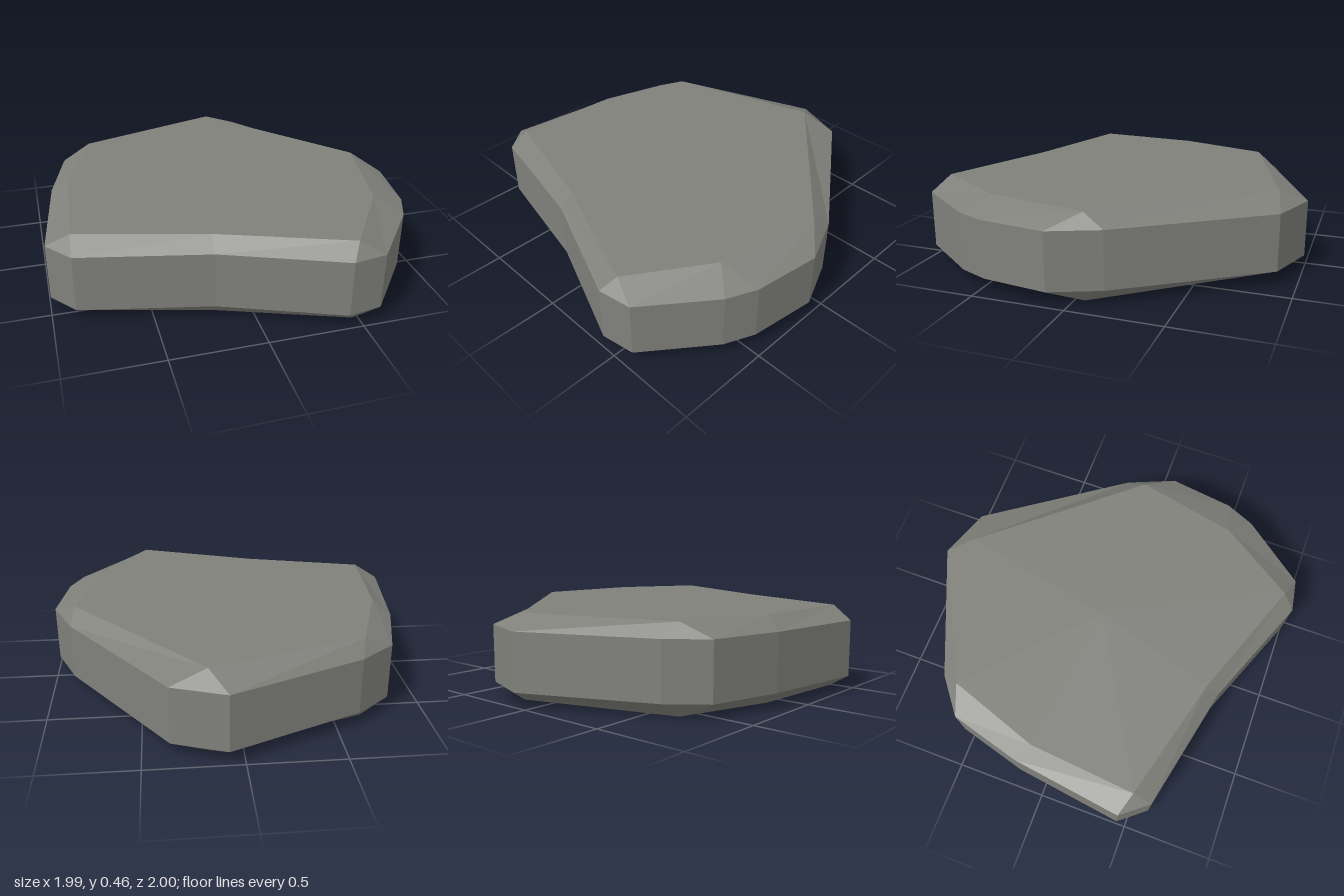
import * as THREE from 'three';

// Girdle outline: x, z, and the index of the cap corner it chamfers to
const outline = [
  [0.08, -1.0, 0], [0.36, -0.9, 0], [0.88, -0.16, 1], [0.99, 0.1, 1],
  [0.94, 0.46, 2], [0.87, 0.62, 2], [0.6, 0.965, 3], [0.42, 0.995, 3],
  [-0.2, 0.745, 4], [-0.88, 0.595, 5], [-0.995, 0.45, 5], [-0.915, -0.16, 6],
  [-0.81, -0.55, 7], [-0.62, -0.7, 7],
];
// Corners of the flat top and bottom: x, z
const cap = [
  [0.17, -0.86], [0.86, -0.05], [0.74, 0.51], [0.47, 0.92],
  [-0.2, 0.67], [-0.87, 0.49], [-0.82, -0.1], [-0.65, -0.6],
];

const ring = (points, y) => points.map(([x, z]) => new THREE.Vector3(x, y, z));

export function createModel() {
  const group = new THREE.Group();
  group.name = 'flatStone';
  const stone = new THREE.MeshStandardMaterial({ color: 0x80807b });
  stone.name = 'stone grey';
  stone.flatShading = true;

  // Cross-sections from bottom to top
  const chamferCap = outline.map((p) => cap[p[2]]);
  const rings = [
    ring(chamferCap, 0), ring(outline, 0.075),
    ring(outline, 0.382), ring(chamferCap, 0.455),
  ];

  const positions = [];
  const tri = (a, b, c) => {
    if (a.equals(b) || b.equals(c) || a.equals(c)) return; // merged corners
    for (const p of [a, b, c]) positions.push(p.x, p.y, p.z);
  };

  const n = outline.length;
  const bottom = new THREE.Vector3(0, 0, 0);
  const top = new THREE.Vector3(0, 0.455, 0);
  for (let i = 0; i < n; i++) {
    const j = (i + 1) % n;
    // Walls and chamfers
    for (let k = 0; k < 3; k++) {
      const lo = rings[k], hi = rings[k + 1];
      tri(lo[j], lo[i], hi[i]);
      tri(lo[j], hi[i], hi[j]);
    }
    // Flat caps
    tri(top, rings[3][j], rings[3][i]);
    tri(bottom, rings[0][i], rings[0][j]);
  }

  const geometry = new THREE.BufferGeometry();
  geometry.setAttribute('position', new THREE.Float32BufferAttribute(positions, 3));
  geometry.computeVertexNormals();
  const slab = new THREE.Mesh(geometry, stone);
  slab.name = 'stoneSlab';
  group.add(slab);
  return group;
}
